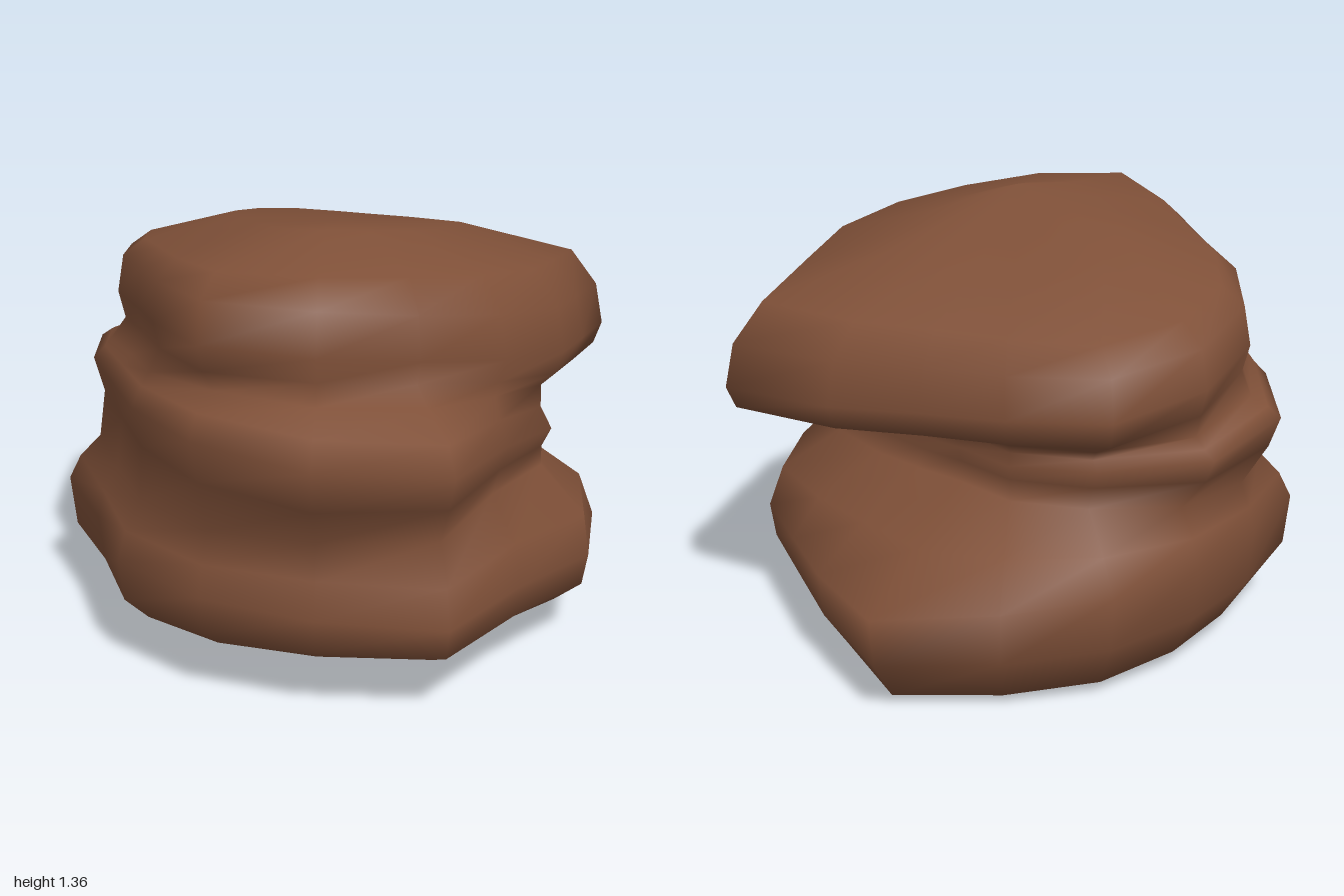
import * as THREE from 'three';

// Outlines as radii every 22.5 degrees, from +x round through +z, -x and -z
const lowerSlab = [.90, .86, 1.02, .94, .91, .88, .80, .89, .82, .82, .86, .90, 1.0, .84, .79, .87];
const lowerShoulder = [.88, .83, 1.0, .91, .89, .85, .78, .85, .80, .79, .77, .74, .72, .66, .70, .82];
const lowerGroove = [.73, .73, .94, .88, .85, .79, .73, .78, .77, .74, .63, .55, .44, .44, .50, .62];
const middleBulge = [.76, .79, 1.04, 1.06, .94, .81, .74, .79, .89, .87, .70, .57, .45, .44, .48, .62];
const upperGroove = [.72, .73, .83, .86, .79, .74, .67, .73, .79, .79, .69, .58, .50, .50, .58, .67];
const upperSlab = [.79, .77, .77, .83, .88, .72, .65, .70, .78, .83, .83, .71, .68, .78, .98, .81];

// Rings from bottom to top: outline, scale, height, tilt along x, tilt along z
const rings = [
  [lowerSlab, .5, .02, .02, .025],
  [lowerSlab, .88, .095, .03, .075],
  [lowerSlab, .98, .20, -.01, .03],
  [lowerSlab, 1, .34, -.05, .01],
  [lowerShoulder, 1, .45, -.02, 0],
  [lowerGroove, 1, .56, .02, -.02],
  [middleBulge, .96, .66, -.03, .06],
  [middleBulge, 1, .74, -.05, .12],
  [middleBulge, .95, .79, -.03, .15],
  [upperGroove, 1, .84, 0, .15],
  [upperSlab, .97, .90, -.02, .16],
  [upperSlab, 1, .98, -.03, .16],
  [upperSlab, .97, 1.11, -.02, .16],
  [upperSlab, .87, 1.195, .02, .15],
  [upperSlab, .45, 1.29, .02, .16],
];

// Loft the tilted rings into one closed, smooth-shaded skin
function loft(rings, bottom, top) {
  const n = rings[0][0].length;
  const points = [];
  const index = [];
  for (const [radii, scale, y, tiltX, tiltZ] of rings) {
    radii.forEach((r, k) => {
      const a = (k / n) * Math.PI * 2;
      const x = r * scale * Math.cos(a);
      const z = r * scale * Math.sin(a);
      points.push(x, y + tiltX * x + tiltZ * z, z);
    });
  }
  const last = (rings.length - 1) * n;
  const bottomId = rings.length * n;
  points.push(...bottom, ...top);
  for (let k = 0; k < n; k++) {
    const next = (k + 1) % n;
    for (let i = 0; i < last; i += n) {
      index.push(i + k, i + n + k, i + next);
      index.push(i + next, i + n + k, i + n + next);
    }
    index.push(bottomId, k, next);
    index.push(bottomId + 1, last + next, last + k);
  }
  const geometry = new THREE.BufferGeometry();
  geometry.setAttribute('position', new THREE.Float32BufferAttribute(points, 3));
  geometry.setIndex(index);
  geometry.computeVertexNormals();
  return geometry;
}

export function createModel() {
  const group = new THREE.Group();
  group.name = 'layeredRock';
  const rock = new THREE.Mesh(
    loft(rings, [0, 0, -.1], [.15, 1.36, .25]),
    new THREE.MeshStandardMaterial({ color: 0x7f5038 })
  );
  rock.name = 'rock';
  group.add(rock);
  return group;
}
